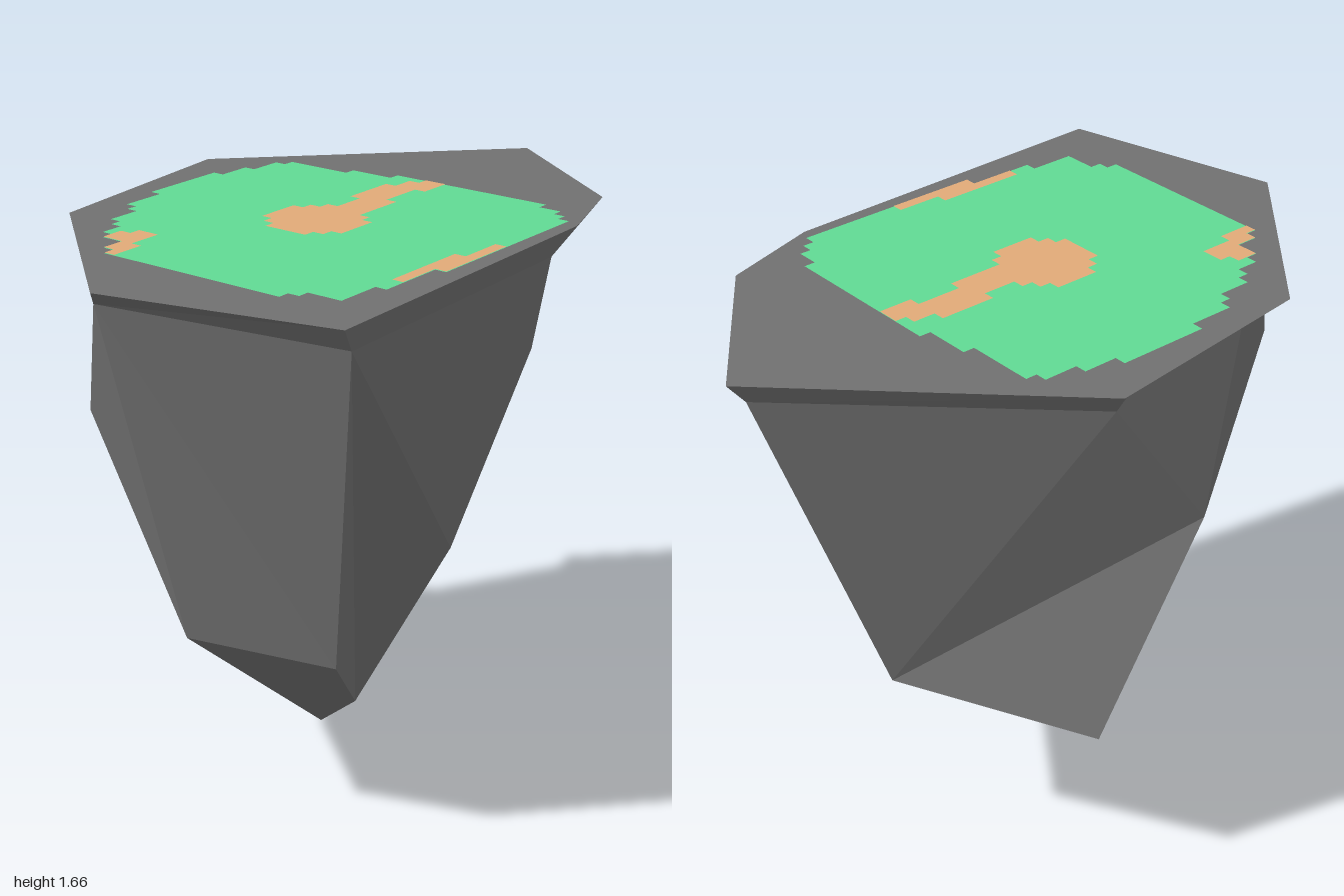
import * as THREE from 'three';

const stone = new THREE.MeshStandardMaterial({ color: 0x707070, flatShading: true });
stone.name = 'grey stone';
const grass = new THREE.MeshStandardMaterial({ color: 0x60da93 });
grass.name = 'green grass';
const path = new THREE.MeshStandardMaterial({ color: 0xe1aa78 });
path.name = 'sandy path';

const TOP = 1.66;

// Corners of the rock: r = rim, n = neck just under the rim, the rest lie on the body.
const P = {
  rA: [-1, TOP, 0.02], rB: [-0.49, TOP, -0.56], rC: [0.24, TOP, -0.655], rE: [1, TOP, 0.08],
  rG: [0.63, TOP, 0.588], rH: [0.315, TOP, 0.69], rF: [-0.825, TOP, 0.72],
  nA: [-0.93, 1.6, -0.04], nC: [0.216, 1.585, -0.6], nE: [0.94, 1.585, 0.085],
  nH: [0.215, 1.588, 0.67], nF: [-0.77, 1.585, 0.7],
  W: [0.185, 1.31, 0.635], X: [-0.185, 0.8, 0.62], Y: [-0.28, 0.24, 0.35],
  Q: [-0.655, 0.585, 0.565], L: [-0.82, 0.62, 0.16], M: [-0.856, 1.25, -0.144],
  N: [-0.02, 1.2, -0.72], S: [0.315, 0.535, -0.668], V: [0.665, 0.615, -0.14],
  Z: [0.29, 0.8, 0.19], tip: [-0.11, 0, 0.085],
};

// Flat-faced mesh from corner names; each face is a fan turned away from an inner point.
function facets(name, faces) {
  const inside = new THREE.Vector3(0, 1.62, 0);
  const pos = [];
  for (const face of faces) {
    const pts = face.split(' ').map((k) => new THREE.Vector3(...P[k]));
    for (let i = 1; i < pts.length - 1; i++) {
      const t = new THREE.Triangle(pts[0], pts[i], pts[i + 1]);
      const out = t.getNormal(new THREE.Vector3()).dot(t.a.clone().sub(inside)) > 0;
      for (const p of out ? [t.a, t.b, t.c] : [t.a, t.c, t.b]) pos.push(p.x, p.y, p.z);
    }
  }
  const g = new THREE.BufferGeometry();
  g.setAttribute('position', new THREE.Float32BufferAttribute(pos, 3));
  g.computeVertexNormals();
  const mesh = new THREE.Mesh(g, stone);
  mesh.name = name;
  return mesh;
}

// Ground tiles: a 32 x 32 grid, given as [row, firstColumn, endColumn] runs.
const CELL = 0.0366, X0 = -0.725, Z0 = -0.522;
function tiles(name, runs, material, y) {
  const pos = [];
  for (const [row, from, to] of runs) {
    const x1 = X0 + from * CELL, x2 = X0 + to * CELL;
    const z1 = Z0 + row * CELL, z2 = z1 + CELL;
    pos.push(x1, y, z1, x1, y, z2, x2, y, z2, x1, y, z1, x2, y, z2, x2, y, z1);
  }
  const g = new THREE.BufferGeometry();
  g.setAttribute('position', new THREE.Float32BufferAttribute(pos, 3));
  g.computeVertexNormals();
  const mesh = new THREE.Mesh(g, material);
  mesh.name = name;
  return mesh;
}

export function createModel() {
  const model = new THREE.Group();
  model.name = 'floatingIsland';

  model.add(facets('rockTop', ['rA rB rC rE rG rH rF']));

  // Overhanging lip
  model.add(facets('rockRim', [
    'rA rB nA', 'rB rC nA', 'rC nC nA', 'rC rE nE', 'rC nE nC', 'rE rG nE',
    'rG nH nE', 'rG rH nH', 'rH rF nF', 'rH nF nH', 'rF rA nA', 'rF nA nF',
  ]));

  // Tapering body down to the tip
  model.add(facets('rockBody', [
    // front
    'nF W nH', 'nF X W', 'nF Y X', 'nF Q Y',
    // front right hollow
    'nH W Z', 'nH Z nE', 'W X Z', 'X Y Z', 'Y tip Z', 'Z tip V', 'nE Z V',
    // right and back
    'nE V nC', 'nC V N', 'N V S', 'V tip S', 'nC N nA', 'N M nA',
    'N M L', 'N L tip', 'N tip S',
    // left
    'nA M L', 'nA L Q', 'nA Q nF', 'L Q tip', 'Q Y tip',
  ]));

  // Grass: left and right limits of each row
  const left = [15, 11, 10, 7, 6, 4, 3, 3, 1];
  const right = [23, 26, 29];
  const grassRuns = [];
  for (let row = 0; row < 32; row++) {
    const l = left[row] ?? (row < 26 ? 0 : row < 27 ? 1 : row < 30 ? 2 : row < 31 ? 6 : 12);
    const r = right[row] ?? (row < 9 ? 30 : row < 13 ? 31 : row < 28 ? 32 : row < 30 ? 31 : row < 31 ? 30 : 29);
    grassRuns.push([row, l, r]);
  }
  model.add(tiles('grassPatch', grassRuns, grass, TOP + 0.002));

  // Sandy clearing with its trail, and the two patches at the edges
  model.add(tiles('sandyClearing', [
    [12, 15, 19], [13, 14, 20], [14, 13, 21], [14, 24, 29], [15, 13, 31], [16, 13, 32],
    [17, 13, 25], [17, 29, 32], [18, 14, 20], [19, 15, 19],
  ], path, TOP + 0.004));
  model.add(tiles('sandyLeftPatch', [[6, 3, 5], [7, 3, 6], [8, 1, 6], [9, 0, 3]], path, TOP + 0.004));
  model.add(tiles('sandyFrontPatch', [[30, 8, 16], [31, 12, 20]], path, TOP + 0.004));

  return model;
}
